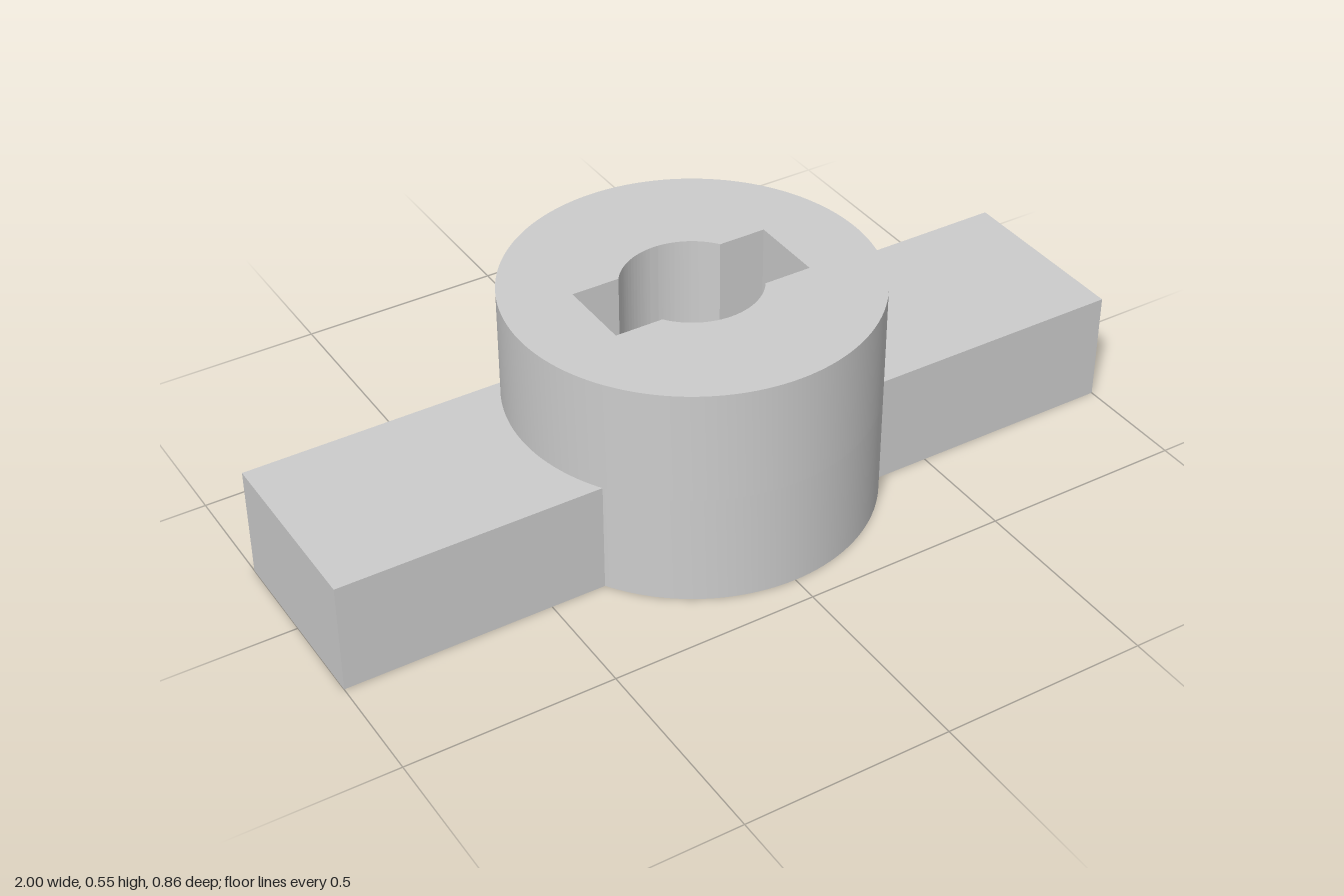
import * as THREE from 'three';
import { toCreasedNormals } from 'three/addons/utils/BufferGeometryUtils.js';

const HUB_R = 0.432, HUB_H = 0.547;
const ARM_H = 0.273, ARM_HALF = 0.228;
const SLOT_X = 0.249, SLOT_Z = 0.093, BORE_R = 0.162;

// Raise a plan outline from height y0 to y1, keeping hard edges sharp.
function raise(shape, y0, y1) {
  const geo = new THREE.ExtrudeGeometry(shape, { depth: y1 - y0, bevelEnabled: false, curveSegments: 64 });
  geo.rotateX(-Math.PI / 2);
  geo.translate(0, y0, 0);
  return toCreasedNormals(geo, Math.PI / 6);
}

function disc() {
  return new THREE.Shape().absarc(0, 0, HUB_R, 0, Math.PI * 2, false);
}

// Round bore with a rectangular key on each side.
function keyedSlot() {
  const a = Math.asin(SLOT_Z / BORE_R);
  const path = new THREE.Path();
  path.moveTo(SLOT_X, -SLOT_Z);
  path.lineTo(SLOT_X, SLOT_Z);
  path.absarc(0, 0, BORE_R, a, Math.PI - a, false);
  path.lineTo(-SLOT_X, SLOT_Z);
  path.lineTo(-SLOT_X, -SLOT_Z);
  path.absarc(0, 0, BORE_R, Math.PI + a, Math.PI * 2 - a, false);
  path.closePath();
  return path;
}

// Flat bar whose inner end follows the hub wall.
function armShape() {
  const a = Math.asin(ARM_HALF / HUB_R);
  const shape = new THREE.Shape();
  shape.moveTo(1, -ARM_HALF);
  shape.lineTo(1, ARM_HALF);
  shape.absarc(0, 0, HUB_R, a, -a, true);
  shape.closePath();
  return shape;
}

export function createModel() {
  const group = new THREE.Group();
  const grey = new THREE.MeshStandardMaterial({ color: 0xcccccc });
  grey.name = 'light grey';

  const add = (name, geo) => {
    const mesh = new THREE.Mesh(geo, grey);
    mesh.name = name;
    group.add(mesh);
    return mesh;
  };

  // Hub: solid lower half, upper half pierced by the keyed slot
  add('hubBase', raise(disc(), 0, ARM_H));
  const ring = disc();
  ring.holes.push(keyedSlot());
  add('hubSocket', raise(ring, ARM_H, HUB_H));

  // Two opposite arms
  const arm = raise(armShape(), 0, ARM_H);
  add('leftArm', arm);
  add('rightArm', arm).rotation.y = Math.PI;

  return group;
}
